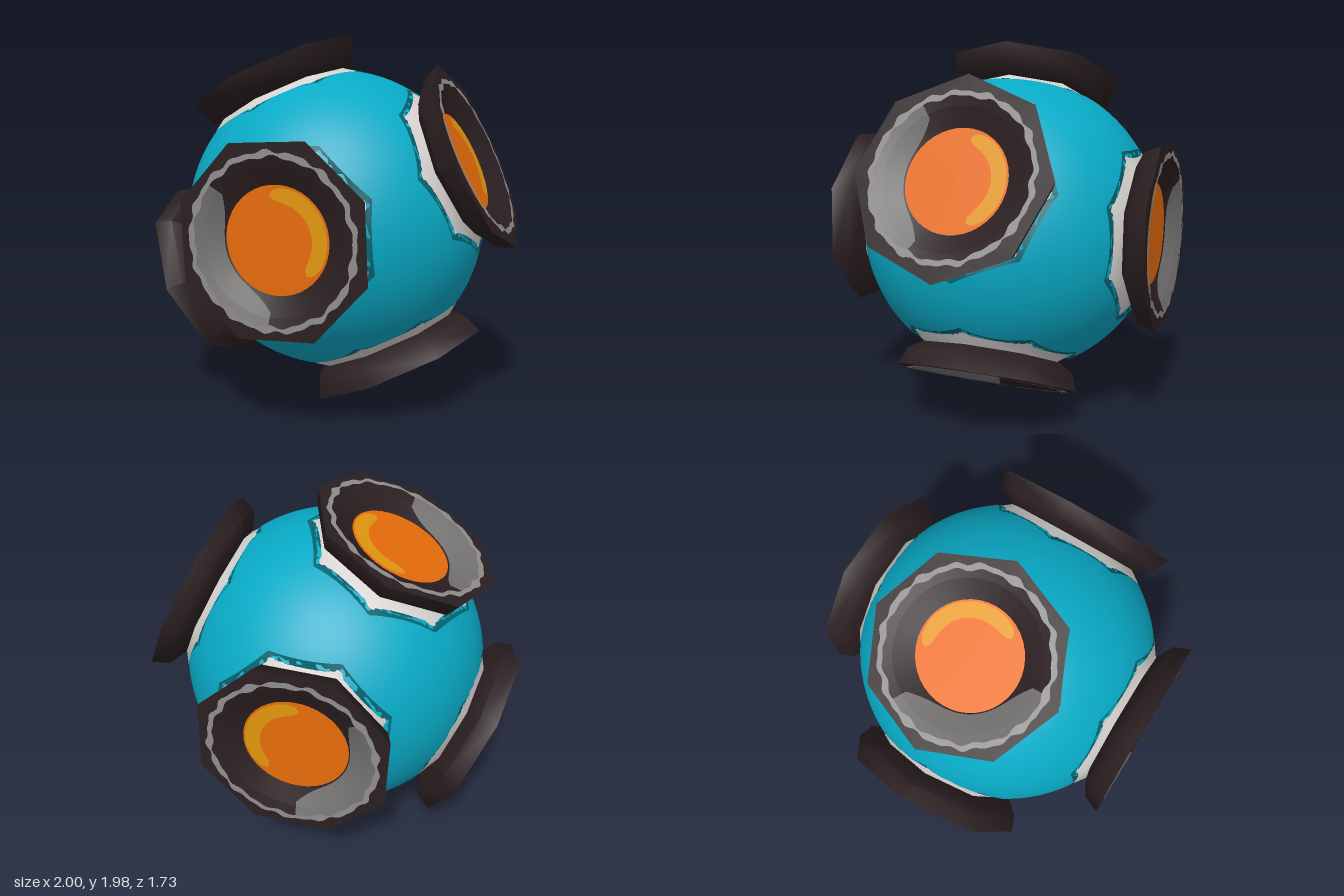
import * as THREE from 'three';
import { toCreasedNormals } from 'three/addons/utils/BufferGeometryUtils.js';

const flat = (name, color) => {
  const m = new THREE.MeshStandardMaterial({ color });
  m.name = name;
  return m;
};
const teal = flat('teal', 0x08aac6);
const darkTeal = flat('darkTeal', 0x07636f);
const white = flat('paleGrey', 0xd6d3d0);
const brown = flat('darkBrown', 0x2b1f21);
const grey = flat('midGrey', 0x727170);
const lightGrey = flat('wornGrey', 0x908e8c);
const orange = flat('orange', 0xe86c0a);
const yellow = flat('amber', 0xe2980e);

const CENTRE = 1, RADIUS = 0.806, CUT = 0.685;
const rad = THREE.MathUtils.degToRad;

function mesh(name, geometry, material) {
  const m = new THREE.Mesh(geometry, material);
  m.name = name;
  return m;
}

// Eight-sided turned part whose axis is z; profile is [radius, z] from back to front
function octagonLathe(profile) {
  const g = new THREE.LatheGeometry(profile.map(p => new THREE.Vector2(...p)), 8);
  return toCreasedNormals(g.rotateX(Math.PI / 2), 0.9);
}

// Curved strip around z, facing +z; inner(t) and outer(t) give radii, height(r) gives z
function band(from, to, steps, inner, outer, height) {
  const pos = [], index = [];
  for (let i = 0; i <= steps; i++) {
    const t = i / steps, a = rad(from + (to - from) * t);
    for (const r of [inner(t), outer(t)]) pos.push(Math.cos(a) * r, Math.sin(a) * r, height(r));
    if (i < steps) {
      const k = i * 2;
      index.push(k, k + 1, k + 3, k, k + 3, k + 2);
    }
  }
  const g = new THREE.BufferGeometry();
  g.setAttribute('position', new THREE.Float32BufferAttribute(pos, 3));
  g.setIndex(index);
  g.computeVertexNormals();
  return g;
}

// Octagonal rim face with a round opening
function rimFace(R, hole) {
  const s = new THREE.Shape();
  for (let i = 0; i < 8; i++) {
    const a = i * Math.PI / 4;
    s[i ? 'lineTo' : 'moveTo'](R * Math.cos(a), R * Math.sin(a));
  }
  s.closePath();
  s.holes.push(new THREE.Path().absarc(0, 0, hole, 0, Math.PI * 2, true));
  return new THREE.ShapeGeometry(s, 24).translate(0, 0, 0.86);
}

// Radius of an octagon with corner radius R at fraction t of a full turn
const octagon = (R, t) => R * Math.cos(Math.PI / 8) / Math.cos((t * 8 % 1 - 0.5) * Math.PI / 4);

// One port, built along +z with paint turned by the given angle
function port(name, R, paintAngle) {
  const g = new THREE.Group();
  g.name = name;

  // Octagonal seam lying on the shell, then collar and flared rim
  const onShell = r => Math.min(CUT, Math.sqrt(RADIUS * RADIUS - r * r)) + 0.004;
  g.add(mesh('seam', band(0, 360, 64, t => octagon(0.415, t), t => octagon(0.472, t), onShell), darkTeal));
  g.add(mesh('collar', octagonLathe([[0.445, 0.675], [0.375, 0.725]]), white));
  g.add(mesh('rim', octagonLathe([[0.365, 0.722], [0.386, 0.725], [R - 0.035, 0.772], [R, 0.86]]), brown));
  g.add(mesh('rimFace', rimFace(R, 0.42), brown));

  // Dish with a shallow lip and a steeper wall, around the lens
  const LIP = 0.365;
  const slope = r => r > LIP ? 0.84 + (r - LIP) / 0.055 * 0.02 : 0.79 + (r - 0.26) / 0.105 * 0.05;
  g.add(mesh('dishLip', band(0, 360, 48, () => LIP, () => 0.42, slope), brown));
  g.add(mesh('dishWall', band(0, 360, 48, () => 0.26, () => LIP, slope), brown));
  g.add(mesh('lens', new THREE.CircleGeometry(0.267, 40).translate(0, 0, 0.794), orange));

  // Painted details
  const paint = new THREE.Group();
  paint.name = 'paint';
  paint.rotation.z = rad(paintAngle);
  const mid = t => Math.sqrt(Math.max(0, 1 - Math.pow(2 * t - 1, 6)));
  paint.add(mesh('glint', band(-72, 75, 30,
    t => 0.22 - 0.04 * mid(t), t => 0.22 + 0.037 * mid(t), () => 0.798), yellow));
  const raised = r => slope(r) + 0.004;
  paint.add(mesh('sheenWall', band(116, 242, 30,
    t => 0.272 + 0.07 * Math.pow(Math.abs(2 * t - 1), 5), () => LIP, raised), grey));
  paint.add(mesh('sheenLip', band(116, 242, 30, () => LIP, () => 0.415, raised), grey));
  const wobble = (t, k) => 0.006 * Math.sin(t * Math.PI * 2 * k) + 0.005 * Math.sin(t * Math.PI * 2 * (k + 10) + 1);
  paint.add(mesh('wornEdge', band(0, 360, 144,
    t => 0.403 + wobble(t, 13), t => 0.43 + wobble(t, 17), () => 0.865), lightGrey));
  g.add(paint);
  return g;
}

export function createModel() {
  const model = new THREE.Group();
  model.name = 'portedSphere';
  const body = new THREE.Group();
  body.name = 'body';
  body.position.y = CENTRE;
  body.rotation.z = rad(25);
  model.add(body);

  // Sphere cut flat beneath each port
  const ball = new THREE.SphereGeometry(RADIUS, 96, 64);
  const p = ball.attributes.position;
  const clamp = v => THREE.MathUtils.clamp(v, -CUT, CUT);
  for (let i = 0; i < p.count; i++) p.setXYZ(i, clamp(p.getX(i)), clamp(p.getY(i)), clamp(p.getZ(i)));
  body.add(mesh('shell', ball, teal));

  // Name, outward axis, reference axis, rim radius, paint angle
  const ports = [
    ['frontPort', [0, 0, 1], [1, 0, 0], 0.508, 0],
    ['backPort', [0, 0, -1], [1, 0, 0], 0.508, 0],
    ['leftPort', [1, 0, 0], [0, 0, -1], 0.518, 5],
    ['rightPort', [-1, 0, 0], [0, 0, -1], 0.518, -5],
    ['topPort', [0, 1, 0], [1, 0, 0], 0.5, 33],
    ['bottomPort', [0, -1, 0], [0, 0, -1], 0.5, 18],
  ];
  for (const [name, n, u, R, angle] of ports) {
    const g = port(name, R, angle);
    const N = new THREE.Vector3(...n), U = new THREE.Vector3(...u);
    const V = N.clone().cross(U);
    g.quaternion.setFromRotationMatrix(new THREE.Matrix4().makeBasis(U, V, N));
    body.add(g);
  }
  return model;
}
